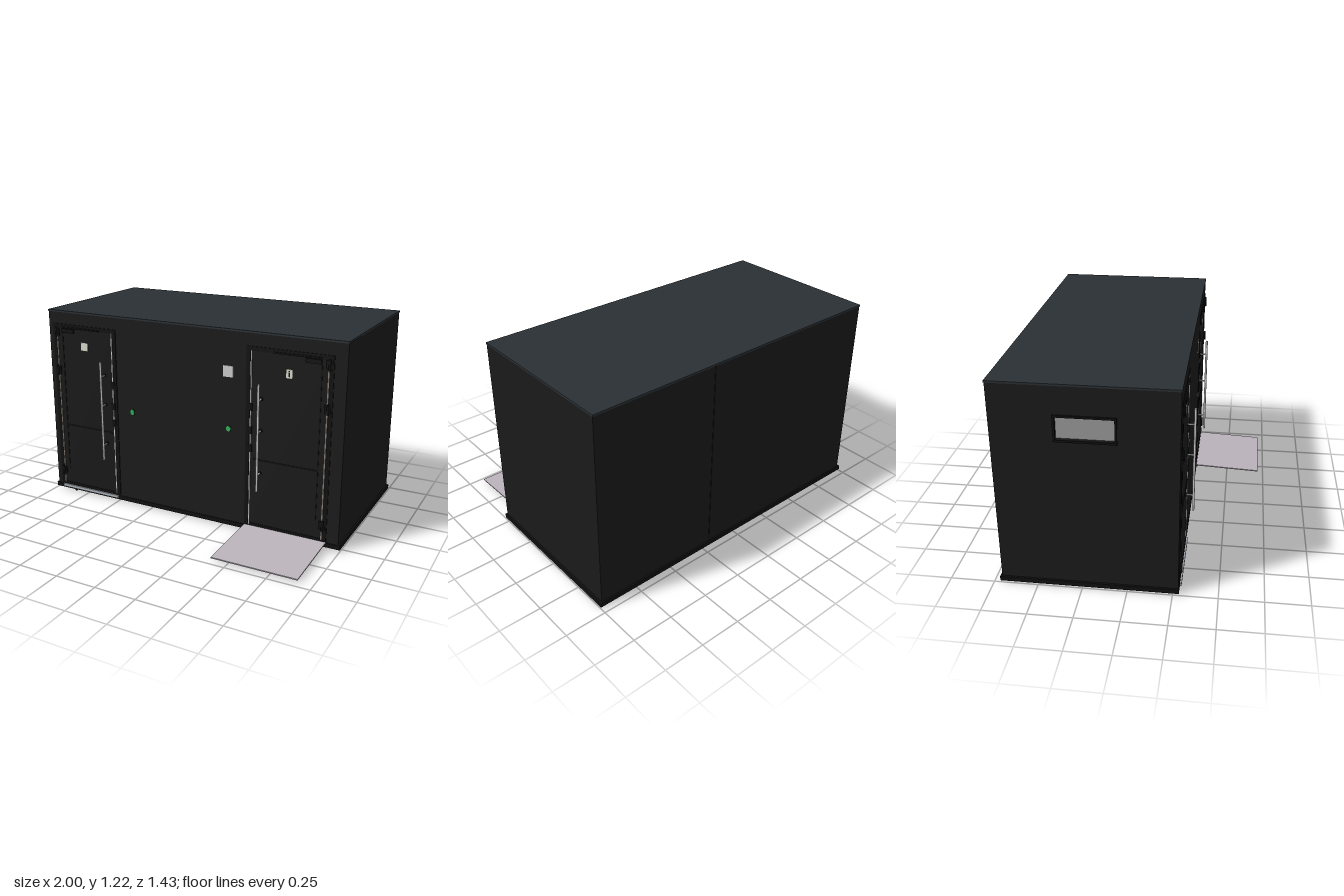
import * as THREE from 'three';

const mat = (color, side = THREE.FrontSide) => new THREE.MeshStandardMaterial({ color, side });
const M = {
  wall: mat(0x1a1a1a), roof: mat(0x2a3034), black: mat(0x101010), door: mat(0x191919),
  steel: mat(0xcccccc), seal: mat(0x857c70), sign: mat(0xd8d8cc), green: mat(0x2fae56),
  ramp: mat(0xbab2ba), sill: mat(0xa9b0b6), glass: mat(0x9a9a9a),
};

export function createModel() {
  const model = new THREE.Group();
  const FRONT = 0.281;

  // box given by its limits on each axis
  function box(name, m, [x0, x1], [y0, y1], [z0, z1], parent = model) {
    const mesh = new THREE.Mesh(new THREE.BoxGeometry(Math.abs(x1 - x0), y1 - y0, z1 - z0), m);
    mesh.position.set((x0 + x1) / 2, (y0 + y1) / 2, (z0 + z1) / 2);
    mesh.name = name;
    parent.add(mesh);
    return mesh;
  }
  function rod(name, m, r, length, [x, y, z], axis, parent = model) {
    const g = new THREE.CylinderGeometry(r, r, length, 20);
    if (axis === 'z') g.rotateX(Math.PI / 2);
    const mesh = new THREE.Mesh(g, m);
    mesh.position.set(x, y, z);
    mesh.name = name;
    parent.add(mesh);
    return mesh;
  }
  // rectangular frame lying in the xy plane, extruded towards +z
  function frameGeometry(w, h, border, depth) {
    const s = new THREE.Shape([[0, 0], [w, 0], [w, h], [0, h]].map(p => new THREE.Vector2(...p)));
    const b = border;
    s.holes.push(new THREE.Path([[b, b], [b, h - b], [w - b, h - b], [w - b, b]].map(p => new THREE.Vector2(...p))));
    return new THREE.ExtrudeGeometry(s, { depth, bevelEnabled: false });
  }

  // cabin shell, base and roof
  box('base', M.black, [-1, 1], [0.01, 0.037], [-0.715, 0.285]);
  box('cabinBody', M.wall, [-0.95, 0.988], [0.037, 1.207], [-0.705, FRONT]);
  box('roof', M.roof, [-0.99, 0.99], [1.207, 1.218], [-0.708, 0.284]);
  box('backSeam', M.black, [0.196, 0.204], [0.037, 1.207], [-0.707, -0.7]);

  // left-hand end wall with the window opening
  const wallShape = new THREE.Shape([[-0.281, 0.037], [0.705, 0.037], [0.705, 1.207], [-0.281, 1.207]]
    .map(p => new THREE.Vector2(...p)));
  wallShape.holes.push(new THREE.Path([[0.05, 0.91], [0.05, 1.04], [0.36, 1.04], [0.36, 0.91]]
    .map(p => new THREE.Vector2(...p))));
  const endWall = new THREE.Mesh(new THREE.ExtrudeGeometry(wallShape, { depth: 0.038, bevelEnabled: false }), M.wall);
  endWall.rotation.y = Math.PI / 2;
  endWall.position.x = -0.988;
  endWall.name = 'windowWall';
  model.add(endWall);
  box('windowPane', M.glass, [-0.968, -0.955], [0.905, 1.045], [-0.365, -0.045]);
  const windowFrame = new THREE.Mesh(frameGeometry(0.33, 0.15, 0.012, 0.014), M.black);
  windowFrame.rotation.y = -Math.PI / 2;
  windowFrame.position.set(-0.982, 0.9, -0.37);
  windowFrame.name = 'windowFrame';
  model.add(windowFrame);

  // doors: hinge and latch give the x of each side, dir points from hinge to latch
  function door(name, hinge, latch, handleX) {
    const g = new THREE.Group();
    g.name = name;
    model.add(g);
    const dir = Math.sign(latch - hinge);
    const span = (a, b) => [hinge + dir * a, hinge + dir * b];
    const width = Math.abs(latch - hinge);
    const z = [FRONT - 0.01, FRONT + 0.003];

    box('doorLeaf', M.door, span(0, width), [0.04, 1.12], [FRONT - 0.01, FRONT + 0.002], g);
    const frame = new THREE.Mesh(frameGeometry(width + 0.06, 1.1, 0.025, 0.006), M.black);
    frame.position.set(Math.min(hinge, latch) - 0.03, 0.033, FRONT - 0.001);
    frame.name = 'doorFrame';
    g.add(frame);
    box('hingeSeal', M.seal, span(-0.004, 0.003), [0.05, 1.11], [FRONT, FRONT + 0.006], g);
    box('latchSeal', M.steel, span(width - 0.003, width + 0.003), [0.05, 1.11], [FRONT, FRONT + 0.006], g);

    // raised lines of the leaf panels
    box('panelRail', M.black, span(0.04, width - 0.02), [0.459, 0.468], [z[0], z[1] + 0.002], g);
    box('panelStile', M.black, span(0.036, 0.042), [0.16, 1.1], [z[0], z[1] + 0.002], g);

    // hinges
    for (const y of [0.14, 0.83, 1.08]) {
      box('hingePlate', M.black, span(-0.022, 0.016), [y - 0.025, y + 0.025], [FRONT, FRONT + 0.009], g);
      rod('hingePin', M.black, 0.007, 0.062, [hinge - dir * 0.006, y, FRONT + 0.009], 'y', g);
    }
    // door closer and its arm
    box('closerBody', M.black, span(0.04, 0.13), [1.08, 1.105], [FRONT, FRONT + 0.014], g);
    box('closerArm', M.black, span(0.04, 0.32), [1.108, 1.117], [FRONT, FRONT + 0.012], g);

    // lock plates beside the latch
    for (const y of [0.53, 0.64, 0.78])
      box('lockPlate', M.black, span(width - 0.012, width + 0.014), [y - 0.022, y + 0.022], [FRONT, FRONT + 0.009], g);

    // long pull handle on three standoffs
    rod('pullHandle', M.steel, 0.007, 0.645, [handleX, 0.608, 0.326], 'y', g);
    for (const y of [0.385, 0.645, 0.835]) {
      rod('handleStandoff', M.steel, 0.005, 0.046, [handleX, y, 0.303], 'z', g);
      rod('standoffRose', M.black, 0.011, 0.006, [handleX, y, FRONT + 0.005], 'z', g);
    }
    box('threshold', M.sill, span(-0.015, width + 0.015), [0.02, 0.039], [FRONT - 0.02, 0.295], g);
    return g;
  }
  const leftDoor = door('doorWithoutRamp', -0.925, -0.515, -0.575);
  const rightDoor = door('doorWithRamp', 0.885, 0.43, 0.495);

  // door signs
  box('doorSign', M.sign, [-0.745, -0.695], [0.977, 1.027], [FRONT, FRONT + 0.006], leftDoor);
  box('doorSign', M.sign, [0.642, 0.678], [0.977, 1.027], [FRONT, FRONT + 0.006], rightDoor);
  rod('signFigureHead', M.black, 0.005, 0.002, [0.66, 1.016, FRONT + 0.0065], 'z', rightDoor);
  box('signFigureBody', M.black, [0.655, 0.665], [0.985, 1.008], [FRONT, FRONT + 0.0072], rightDoor);

  // wall panel and green push buttons
  box('wallPanel', M.steel, [0.253, 0.317], [0.937, 1.003], [FRONT - 0.01, FRONT + 0.004]);
  for (const x of [-0.375, 0.29]) {
    rod('buttonRing', M.black, 0.02, 0.004, [x, 0.625, FRONT + 0.001], 'z').scale.x = 0.85;
    rod('pushButton', M.green, 0.017, 0.008, [x, 0.625, FRONT + 0.002], 'z').scale.x = 0.85;
  }

  // access ramp, a thin plate sloping from the sill to the ground
  const drop = 0.02, run = 0.428;
  const ramp = new THREE.Mesh(new THREE.BoxGeometry(0.515, 0.007, Math.hypot(run, drop)), M.ramp);
  ramp.position.set(0.658, 0.028, 0.286 + run / 2);
  ramp.rotation.x = Math.atan2(drop, run);
  ramp.name = 'accessRamp';
  model.add(ramp);

  // small feet under the front edge
  for (const x of [-0.85, 0.71]) rod('foot', M.black, 0.008, 0.012, [x, 0.006, 0.275], 'y');

  return model;
}
